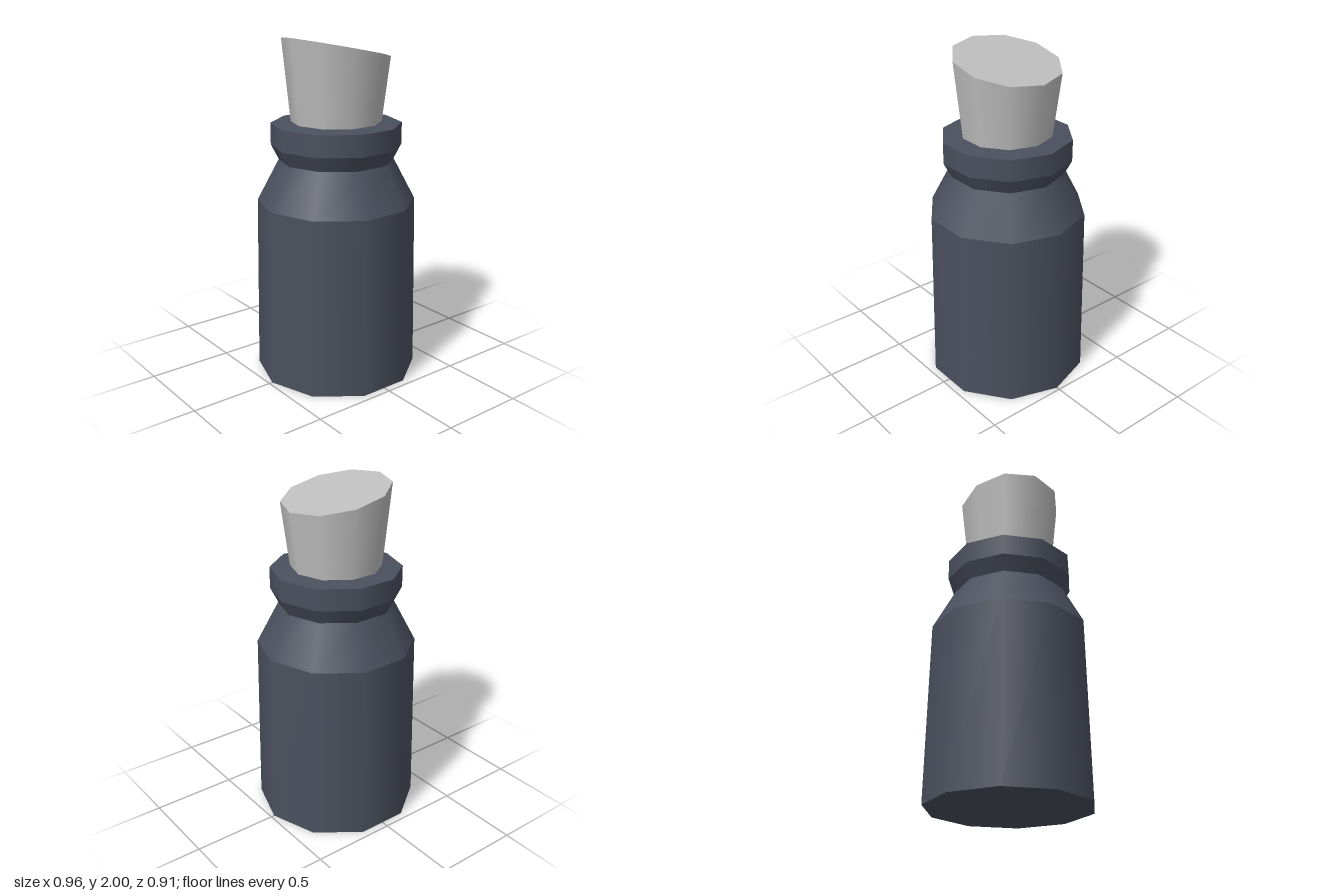
import * as THREE from 'three';
import { mergeGeometries } from 'three/addons/utils/BufferGeometryUtils.js';

const SIDES = 10;

// Ten-sided ring with a corner on the x axis, smooth around and sharp at its rims
function ring(r0, y0, r1, y1) {
  const g = new THREE.CylinderGeometry(r1, r0, y1 - y0, SIDES, 1, true, Math.PI / 2);
  return g.translate(0, (y0 + y1) / 2, 0);
}

export function createModel() {
  const glass = new THREE.MeshStandardMaterial({ color: 0x4b505e });
  glass.name = 'dark glass';
  const cork = new THREE.MeshStandardMaterial({ color: 0xbebebe });
  cork.name = 'pale cork';

  const model = new THREE.Group();
  model.name = 'corkedBottle';
  const add = (name, geometry, material) => {
    const mesh = new THREE.Mesh(geometry, material);
    mesh.name = name;
    model.add(mesh);
  };

  // Bottle: tapered body, shoulder, flared collar, lip and rim, as [radius, height]
  const profile = [[0.48, 0], [0.462, 1.05], [0.334, 1.293], [0.378, 1.38], [0.378, 1.506], [0.25, 1.516]];
  const rings = profile.slice(1).map(([r, y], i) => ring(...profile[i], r, y));
  add('bottle', mergeGeometries(rings), glass);

  // Flat base
  const base = new THREE.CircleGeometry(profile[0][0], SIDES).rotateX(Math.PI / 2);
  add('base', base, glass);

  // Stopper: flares upwards, with a top cut at a slant
  const bottomY = 1.5;
  const stopper = new THREE.CylinderGeometry(0.308, 0.26, 1, SIDES, 1, false, Math.PI / 2);
  const p = stopper.attributes.position;
  for (let i = 0; i < p.count; i++) {
    p.setY(i, p.getY(i) > 0 ? 1.935 - 0.211 * p.getX(i) : bottomY);
  }
  // Tilt the normals of the top face to match the cut
  const n = stopper.attributes.normal;
  const up = new THREE.Vector3(0.211, 1, 0).normalize();
  for (let i = 0; i < n.count; i++) {
    if (n.getY(i) > 0.9) n.setXYZ(i, up.x, up.y, up.z);
    else if (n.getY(i) > -0.9) {
      const side = new THREE.Vector3(n.getX(i), 0, n.getZ(i)).normalize().setY(-0.11).normalize();
      n.setXYZ(i, side.x, side.y, side.z);
    }
  }
  add('stopper', stopper, cork);

  return model;
}
